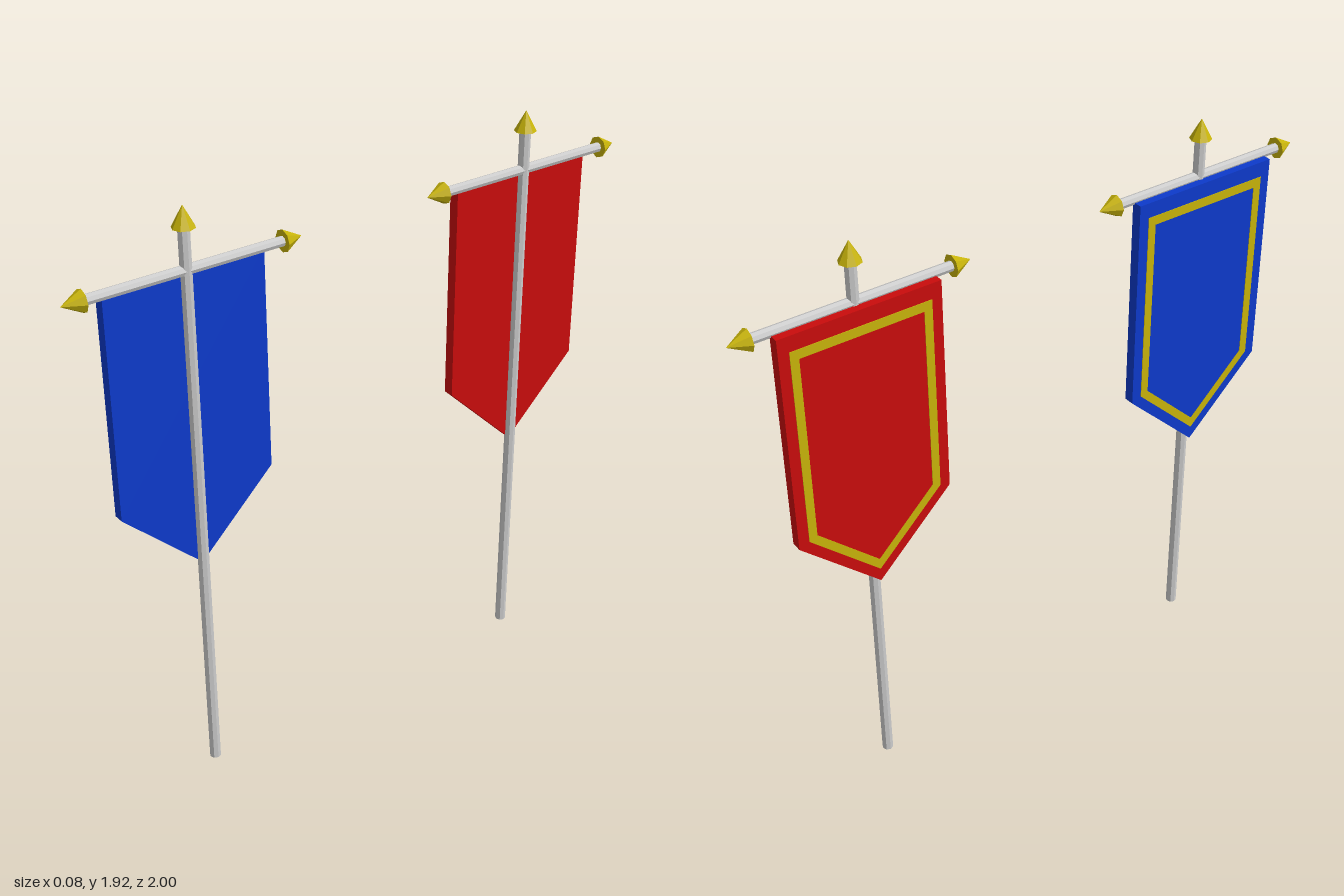
import * as THREE from 'three';

const material = (color) => new THREE.MeshStandardMaterial({ color, flatShading: true });

const SHOULDER = 1.01, TIP = 0.76, TOP = 1.725, HALF = 0.26;

// Pointed banner outline, moved inwards by d on every side
function outline(d, top) {
  const slope = (SHOULDER - TIP) / HALF;
  const tip = TIP + d * Math.hypot(1, slope);
  const h = HALF - d;
  return [[-h, top], [-h, tip + h * slope], [0, tip], [h, tip + h * slope], [h, top]]
    .map(([x, y]) => new THREE.Vector2(x, y));
}

// Extrudes a shape drawn in (z, y) towards -x, starting at the given x
function slab(name, shape, x, depth, mat) {
  const geometry = new THREE.ExtrudeGeometry(shape, { depth, bevelEnabled: false });
  const mesh = new THREE.Mesh(geometry, mat);
  mesh.name = name;
  mesh.rotation.y = -Math.PI / 2;
  mesh.position.x = x;
  return mesh;
}

function createBanner(name, clothColor) {
  const banner = new THREE.Group();
  banner.name = name;
  const metal = material(0xcccccc);
  const gold = material(0xc8b40a);

  const add = (partName, geometry, mat, y, z = 0, tilt = 0) => {
    const mesh = new THREE.Mesh(geometry, mat);
    mesh.name = partName;
    mesh.position.set(0, y, z);
    mesh.rotation.x = tilt;
    banner.add(mesh);
  };

  // Upright pole and crossbar
  add('pole', new THREE.CylinderGeometry(0.018, 0.018, 1.87, 8), metal, 0.935);
  add('crossbar', new THREE.CylinderGeometry(0.016, 0.016, 0.67, 8), metal, 1.73, 0, Math.PI / 2);

  // Pointed finials on the three free ends
  const finial = new THREE.ConeGeometry(0.035, 0.065, 8);
  add('topFinial', finial, gold, 1.888);
  for (const side of [-1, 1]) {
    add('crossbarFinial', finial, gold, 1.73, side * 0.352, side * Math.PI / 2);
  }

  // Cloth hanging behind the pole
  banner.add(slab('cloth', new THREE.Shape(outline(0, TOP)), -0.005, 0.035, material(clothColor)));

  // Gold border on the face of the cloth
  const border = new THREE.Shape(outline(0.034, TOP - 0.05));
  border.holes.push(new THREE.Path(outline(0.061, TOP - 0.08)));
  banner.add(slab('border', border, -0.038, 0.004, gold));
  return banner;
}

export function createModel() {
  const model = new THREE.Group();
  model.name = 'banners';
  const blue = createBanner('blueBanner', 0x0d3acb);
  const red = createBanner('redBanner', 0xc90c0c);
  blue.position.z = 0.615;
  red.position.z = -0.615;
  model.add(blue, red);
  return model;
}
